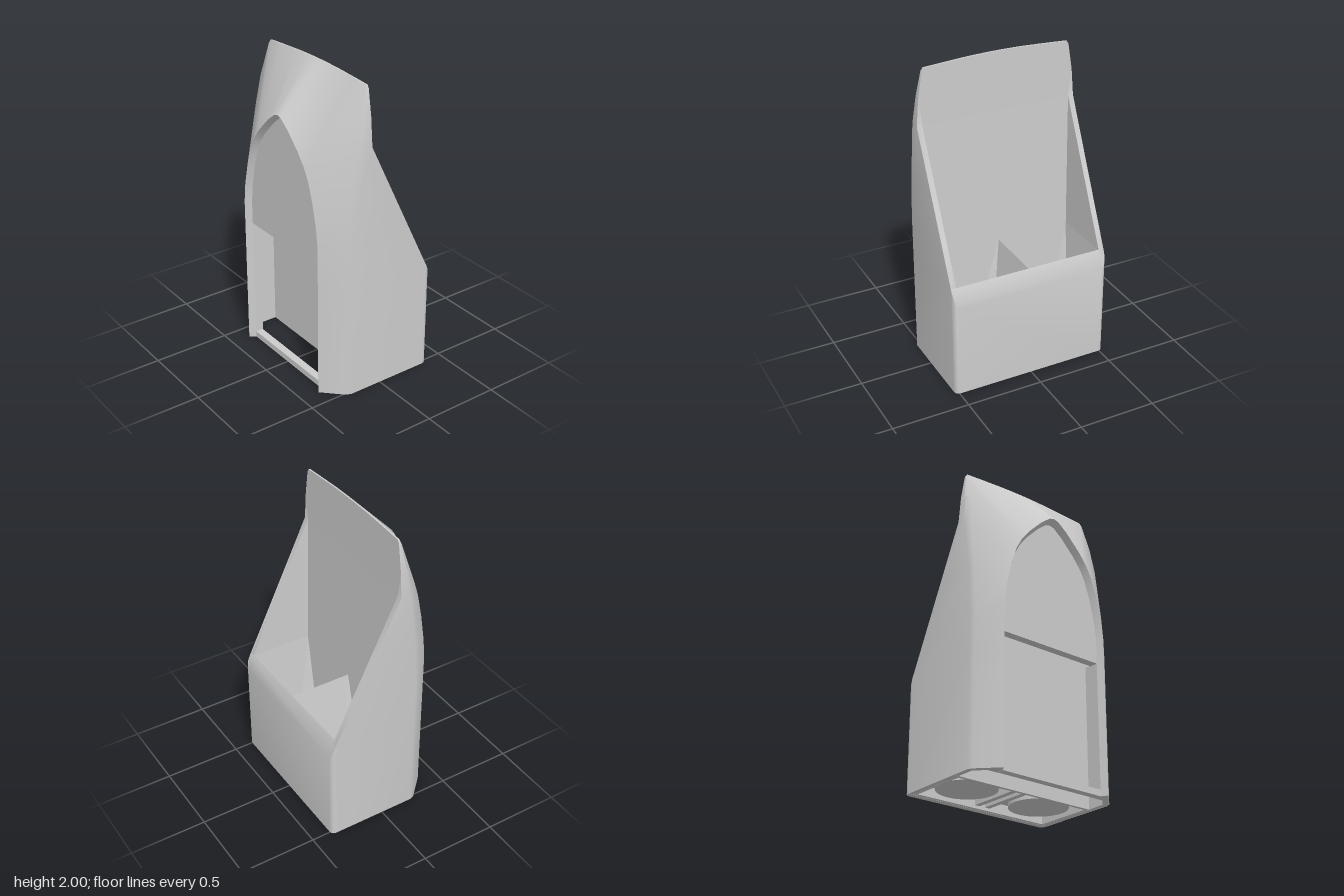
import * as THREE from 'three';
import { toCreasedNormals } from 'three/addons/utils/BufferGeometryUtils.js';

const material = new THREE.MeshStandardMaterial({ color: 0xcccccc, side: THREE.DoubleSide });

function add(group, name, geometry) {
  const mesh = new THREE.Mesh(geometry, material);
  mesh.name = name;
  group.add(mesh);
}

function box(group, name, x0, x1, y0, y1, z0, z1) {
  const g = new THREE.BoxGeometry(x1 - x0, y1 - y0, z1 - z0);
  g.translate((x0 + x1) / 2, (y0 + y1) / 2, (z0 + z1) / 2);
  add(group, name, g);
}

// Skin a grid of rows, each an equal-length list of [x, y, z]
function loft(rows, crease) {
  const n = rows[0].length, index = [];
  for (let i = 0; i < rows.length - 1; i++) {
    for (let j = 0; j < n - 1; j++) {
      const a = i * n + j, b = a + n;
      index.push(a, b, a + 1, b, b + 1, a + 1);
    }
  }
  const g = new THREE.BufferGeometry();
  g.setAttribute('position', new THREE.Float32BufferAttribute(rows.flat(2), 3));
  g.setIndex(index);
  return toCreasedNormals(g, crease);
}

const shapeOf = (pts) => new THREE.Shape(pts.map(([x, y]) => new THREE.Vector2(x, y)));

// Extrude a plan outline of [x, z] points upwards
function slab(pts, y0, height) {
  const g = new THREE.ExtrudeGeometry(shapeOf(pts.map(([x, z]) => [x, -z])),
    { depth: height, bevelEnabled: false });
  g.rotateX(-Math.PI / 2);
  g.translate(0, y0, 0);
  return g;
}

// Half outline, bottom to top: arch x, arch y, outer x, outer y, outer z
const outline = [
  [0.39, 0, 0.525, 0, 0.24],
  [0.39, 0.72, 0.525, 0.72, 0.24],
  [0.39, 1.0, 0.525, 0.95, 0.24],
  [0.375, 1.13, 0.525, 1.25, 0.222],
  [0.34, 1.28, 0.525, 1.62, 0.175],
  [0.30, 1.40, 0.51, 1.8, 0.145],
  [0.262, 1.47, 0.484, 1.96, 0.105],
  [0.248, 1.49, 0.472, 1.98, 0.1],
  [0.2, 1.55, 0.36, 1.987, 0.1],
  [0.1, 1.65, 0.18, 1.997, 0.1],
  [0.035, 1.70, 0.05, 2, 0.1],
  [0, 1.71, 0, 2, 0.1],
];

// Rear edge of the side walls: upright, then sloping forward
const rearZ = (y) => THREE.MathUtils.clamp(-0.345 + (y - 0.72) * 0.4833, -0.345, 0.09);
const insetArch = (x, y) => [x * 0.94, y > 1 ? 1 + (y - 1) * 0.96 : y];
const mirrorPts = (pts) => pts.map(([x, ...rest]) => [-x, ...rest]).reverse();
const mix = THREE.MathUtils.lerp;

export function createModel() {
  const model = new THREE.Group();
  model.name = 'archedHolder';

  // Side walls, sloped hood and bevelled arch rim as one skin, softened at the outer edge
  const half = outline.map(([ax, ay, x, y, z]) => {
    const zb = rearZ(y), xi = y <= 1.62 ? x - 0.035 : x;
    const soft = Math.min(1, (z - 0.1) / 0.05), t = 0.1 * soft;
    return [
      [xi, y, 0.09], [xi, y, zb], [x, y, zb], [x, y, z - 0.02 * soft],
      [mix(x, ax, t), mix(y, ay, t), mix(z, 0.375, t)],
      [ax, ay, 0.375], [...insetArch(ax, ay), 0.335],
    ];
  });
  const other = half.slice(0, -1).reverse().map((row) => row.map(([x, y, z]) => [-x, y, z]));
  add(model, 'outerShell', loft([...half, ...other], 0.6));

  // Upright divider between the front pocket and the rear bin
  const edge = outline.map((o) => [o[2] * 0.998, o[3] * 0.9995]);
  const divider = new THREE.ExtrudeGeometry(shapeOf([...edge, ...mirrorPts(edge).slice(1)]),
    { depth: 0.009, bevelEnabled: false });
  divider.translate(0, 0, 0.09);
  add(model, 'divider', divider);

  // Recessed arch panel above the window
  const arch = [[0.3666, 0.845],
    ...outline.filter((o) => o[1] >= 1).map((o) => insetArch(o[0], o[1]))];
  const panel = new THREE.ExtrudeGeometry(shapeOf([...arch, ...mirrorPts(arch).slice(1)]),
    { depth: 0.055, bevelEnabled: false });
  panel.translate(0, 0, 0.28);
  add(model, 'archPanel', panel);

  // Window sill bar
  box(model, 'sillBar', -0.368, 0.368, 0, 0.04, 0.285, 0.335);

  // Thin corner walls wrapping both ends of the front pocket
  const post = [[0.49, 0.1], [0.523, 0.1], [0.523, 0.22], [0.51, 0.25], [0.39, 0.372],
    [0.367, 0.334], [0.367, 0.28], [0.43, 0.28], [0.49, 0.22]];
  add(model, 'leftPost', slab(post, 0.001, 0.93));
  add(model, 'rightPost', slab(mirrorPts(post), 0.001, 0.93));

  // Back wall with rounded corners and a sloping, softened rim
  const corner = [[0.49, -0.335], [0.525, -0.335], [0.525, -0.345], [0.521, -0.36],
    [0.511, -0.371], [0.495, -0.375]];
  const back = slab([...corner, ...mirrorPts(corner)], 0, 0.7);
  const p = back.attributes.position;
  for (let i = 0; i < p.count; i++) {
    const d = p.getZ(i) + 0.36;
    if (p.getY(i) > 0.3) p.setY(i, 0.69 + d * (d < 0 ? 4.6 : 2.07));
  }
  add(model, 'backWall', toCreasedNormals(back, 0.6));

  // Two funnel wells: rectangular mouth, octagonal floor, sharing a ridge at x = 0
  const floorY = 0.09, mouthY = 0.735, cut = 0.095;
  for (const s of [1, -1]) {
    const x0 = 0.098, x1 = 0.447, z0 = -0.29, z1 = 0.063;
    const oct = [[x0, z0 + cut], [x0 + cut, z0], [x1 - cut, z0], [x1, z0 + cut],
      [x1, z1 - cut], [x1 - cut, z1], [x0 + cut, z1], [x0, z1 - cut]];
    const cx = (x0 + x1) / 2, cz = (z0 + z1) / 2;
    const ring = [...oct, oct[0]];
    const mouth = ring.map(([x, z]) => [s * (x < cx ? 0 : 0.49), mouthY, z < cz ? -0.335 : 0.075]);
    const floor = ring.map(([x, z]) => [s * x, floorY, z]);
    const centre = ring.map(() => [s * cx, floorY, cz]);
    const rows = [mouth, floor, centre];
    if (s > 0) rows.forEach((r) => r.reverse());
    add(model, s > 0 ? 'leftWell' : 'rightWell', loft(rows, 0.2));

    // Round boss under each well
    const boss = new THREE.CylinderGeometry(0.185, 0.185, 0.065, 40);
    boss.translate(s * cx, 0.0525, cz);
    add(model, s > 0 ? 'leftBoss' : 'rightBoss', boss);
  }

  // Slightly leaning inner face of the bin above the wells
  add(model, 'binFrontFace', loft([
    [[0.49, mouthY, 0.075], [-0.49, mouthY, 0.075]],
    [[0.49, 1.62, 0.0895], [-0.49, 1.62, 0.0895]],
  ], 0.2));

  // Recessed underside with a raised frame and centre ribs
  box(model, 'basePlate', -0.5, 0.5, 0.065, 0.088, -0.34, 0.095);
  for (const s of [1, -1]) {
    const span = (a, b) => (s > 0 ? [a, b] : [-b, -a]);
    box(model, 'baseSideRail', ...span(0.475, 0.523), 0.001, 0.07, -0.34, 0.1);
    box(model, 'baseCentreRib', ...span(0.02, 0.055), 0.02, 0.07, -0.32, 0.08);
  }
  box(model, 'baseFrontRail', -0.48, 0.48, 0.001, 0.07, 0.075, 0.098);
  box(model, 'baseBackRail', -0.48, 0.48, 0.001, 0.07, -0.34, -0.315);

  return model;
}
